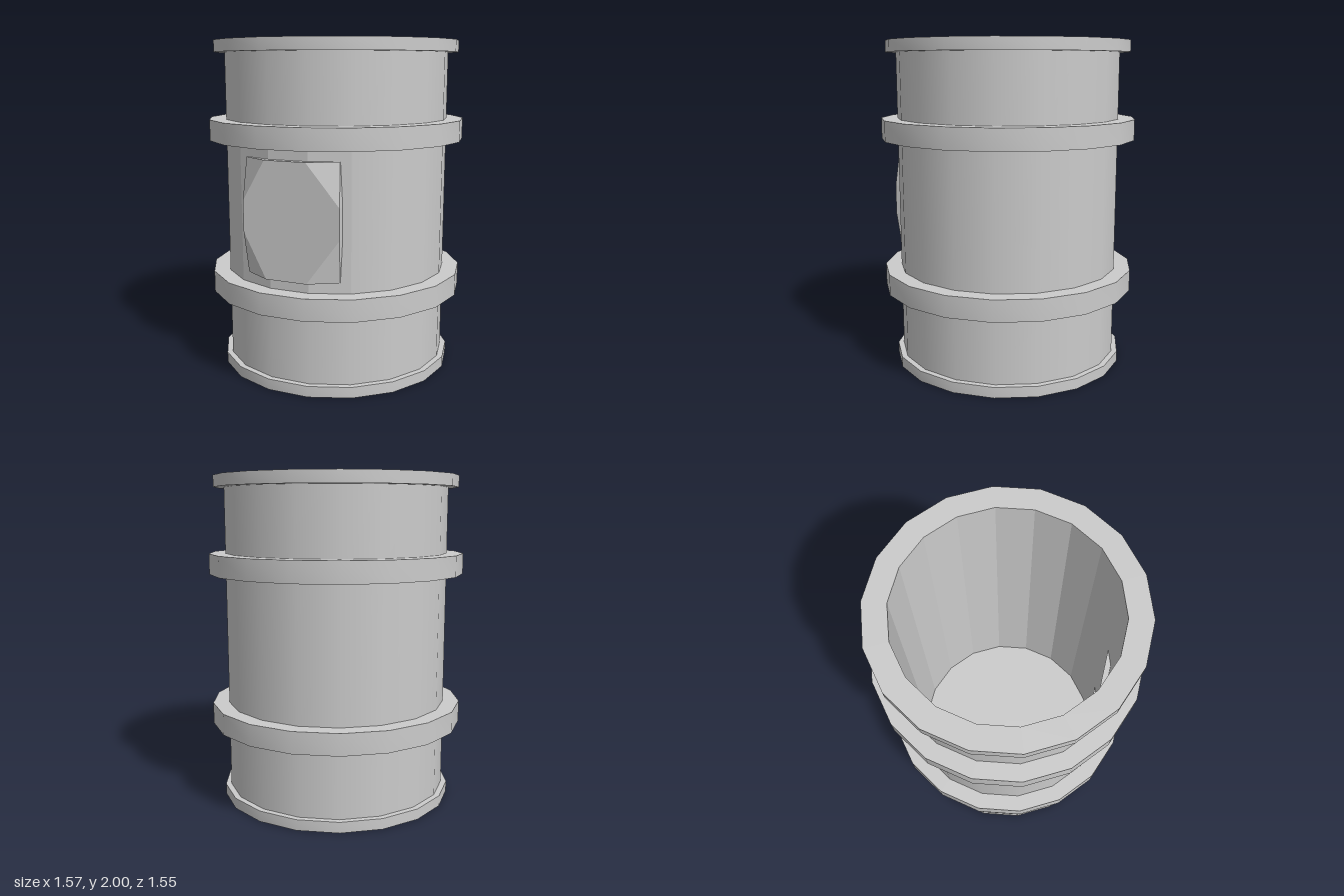
import * as THREE from 'three';
import { toCreasedNormals } from 'three/addons/utils/BufferGeometryUtils.js';

const SIDES = 18;
const WALL = 0.685, BORE = 0.613;
const deg = Math.PI / 180;

export function createModel() {
  const model = new THREE.Group();
  const smooth = new THREE.MeshStandardMaterial({ color: 0xcccccc });
  const flat = new THREE.MeshStandardMaterial({ color: 0xcccccc, flatShading: true });
  const plateMaterial = new THREE.MeshStandardMaterial({ color: 0xcccccc, side: THREE.DoubleSide });

  const add = (name, geometry, material = smooth) => {
    const mesh = new THREE.Mesh(geometry, material);
    mesh.name = name;
    model.add(mesh);
    return mesh;
  };

  // Revolved part; a corner of the 18-sided outline lies on +x
  const lathe = (name, points, material = smooth) => add(name, toCreasedNormals(
    new THREE.LatheGeometry(points.map(([r, y]) => new THREE.Vector2(r, y)), SIDES, Math.PI / 2), 0.6), material);

  // Open piece of the outer wall, angles in degrees measured from the front
  const wall = (name, y0, y1, start = 90, span = 360, material = smooth) => {
    const g = new THREE.CylinderGeometry(WALL, WALL, y1 - y0, Math.round(span / 20), 1, true, start * deg, span * deg);
    g.translate(0, (y0 + y1) / 2, 0);
    return add(name, g, material);
  };

  // Outer wall, with a faceted panel at the front between the hoops
  wall('lowerWall', 0.06, 0.54);
  wall('middleWall', 0.54, 1.47, 30, 300);
  wall('frontPanel', 0.54, 1.47, -30, 60, flat);
  wall('upperWall', 1.47, 1.94);

  // Inner wall and floor
  lathe('innerWall', [[BORE, 2], [BORE, 0.065]], flat);
  lathe('floor', [[BORE, 0.065], [0, 0.065]]);

  // Base, two hoops and top rim
  lathe('base', [[0, 0], [0.72, 0], [0.72, 0.065], [0.66, 0.065]]);
  for (const [name, y0, y1] of [['lowerHoop', 0.475, 0.605], ['upperHoop', 1.41, 1.535]]) {
    lathe(name, [[0.66, y0], [0.785, y0], [0.785, y1], [0.66, y1]]);
  }
  lathe('topRim', [[0.66, 1.93], [0.748, 1.93], [0.748, 2], [BORE, 2]]);

  // Front plate: a bent octagon whose four corners are folded back to the wall
  const yMid = 1.007, h = 0.338, hSide = 0.09;
  const top = (sx, sy) => [0.125 * sx, yMid + h * sy, 0.715];
  const side = (sx, sy) => [0.298 * sx, yMid + hSide * sy, 0.654];
  const corner = (sx, sy) => [0.287 * sx, yMid + h * sy, 0.62];
  const back = ([x, y]) => [x, y, 0.57];

  const polygons = (faces) => {
    const positions = [];
    for (const f of faces) {
      for (let i = 1; i < f.length - 1; i++) positions.push(...f[0], ...f[i], ...f[i + 1]);
    }
    const g = new THREE.BufferGeometry();
    g.setAttribute('position', new THREE.Float32BufferAttribute(positions, 3));
    g.computeVertexNormals();
    return g;
  };

  const face = polygons([
    [top(-1, -1), top(1, -1), top(1, 1), top(-1, 1)],
    [top(1, -1), side(1, -1), side(1, 1), top(1, 1)],
    [top(-1, 1), side(-1, 1), side(-1, -1), top(-1, -1)],
  ]);
  // The octagon is shaded as one even face
  const normals = face.attributes.normal;
  for (let i = 0; i < normals.count; i++) normals.setXYZ(i, 0, 0, 1);
  add('plateFace', face, plateMaterial);

  const folds = [];
  for (const sx of [-1, 1]) {
    for (const sy of [-1, 1]) {
      const f = [top(sx, sy), corner(sx, sy), side(sx, sy)];
      folds.push(sx * sy > 0 ? f.reverse() : f);
    }
  }
  add('plateCorners', polygons(folds), plateMaterial);

  // Plate edge running back into the wall
  const outline = [
    corner(-1, -1), top(-1, -1), top(1, -1), corner(1, -1), side(1, -1), side(1, 1),
    corner(1, 1), top(1, 1), top(-1, 1), corner(-1, 1), side(-1, 1), side(-1, -1),
  ];
  add('plateEdge', polygons(outline.map((p, i) => {
    const q = outline[(i + 1) % outline.length];
    return [p, back(p), back(q), q];
  })), plateMaterial);

  return model;
}
